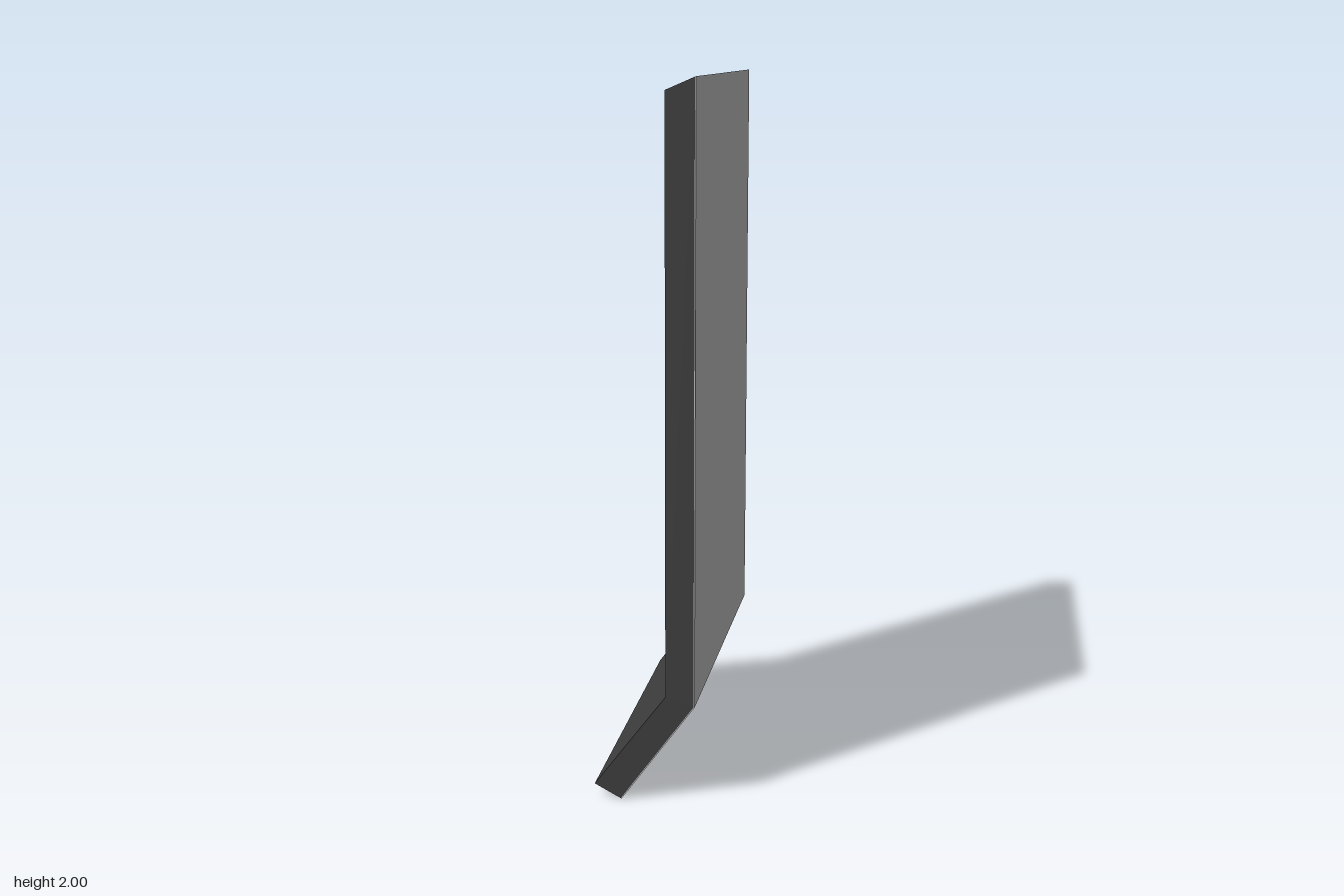
import * as THREE from 'three';

const WIDTH = 1.0;        // along z
const INNER_X = 0.058;    // recessed side
const OUTER_X = 0.137;    // inside of the outer skin
const SKIN = 0.003;

// Extrudes a side profile of [x, y] points across the full width
function sideExtrude(points) {
  const shape = new THREE.Shape(points.map(([x, y]) => new THREE.Vector2(x, y)));
  const geo = new THREE.ExtrudeGeometry(shape, { depth: WIDTH, bevelEnabled: false });
  geo.translate(0, 0, -WIDTH / 2);
  return geo;
}

// Rectangular ring whose top and bottom ends are mitred
function frameGeometry() {
  const h = WIDTH / 2, top = 1.965, bottom = 0.312;
  const rect = (Type, w, y0, y1) => new Type([[-w, y0], [w, y0], [w, y1], [-w, y1]]
    .map(([x, y]) => new THREE.Vector2(x, y)));
  const shape = rect(THREE.Shape, h, bottom, top);
  shape.holes.push(rect(THREE.Path, h - 0.06, 0.377, 1.903));
  const geo = new THREE.ExtrudeGeometry(shape, { depth: OUTER_X - INNER_X, bevelEnabled: false });
  geo.rotateY(Math.PI / 2).translate(INNER_X, 0, 0);
  const p = geo.attributes.position;
  for (let i = 0; i < p.count; i++) {
    if (p.getX(i) < OUTER_X - 0.01) continue;
    if (p.getY(i) > top - 0.001) p.setY(i, 1.999);
    else if (p.getY(i) < bottom + 0.001) p.setY(i, 0.288);
  }
  geo.computeVertexNormals();
  return geo;
}

export function createModel() {
  const group = new THREE.Group();
  const dark = new THREE.MeshStandardMaterial({ color: 0x3d3d3d });
  dark.name = 'charcoal';
  const light = new THREE.MeshStandardMaterial({ color: 0xbabcba });
  light.name = 'lightGrey';
  const add = (name, geo, mat) => {
    const mesh = new THREE.Mesh(geo, mat);
    mesh.name = name;
    group.add(mesh);
    return mesh;
  };

  // Upright frame and the panel recessed in its opening
  add('frame', frameGeometry(), dark);
  const panel = new THREE.BoxGeometry(0.052, 1.526, WIDTH - 0.12);
  add('recessedPanel', panel, light).position.set(0.110, 1.14, 0);

  // Angled lower flap
  add('flap', sideExtrude([
    [INNER_X, 0.312], [-0.145, 0.04], [-0.0705, 0.0013], [OUTER_X, 0.288],
  ]), dark);

  // Thin outer skins over the upright and the flap
  add('uprightSkin', sideExtrude([
    [OUTER_X, 0.288], [OUTER_X + SKIN, 0.287], [OUTER_X + SKIN, 2], [OUTER_X, 1.999],
  ]), light);
  add('flapSkin', sideExtrude([
    [-0.0705, 0.0013], [-0.068, 0], [OUTER_X + SKIN, 0.287], [OUTER_X, 0.288],
  ]), light);

  return group;
}
